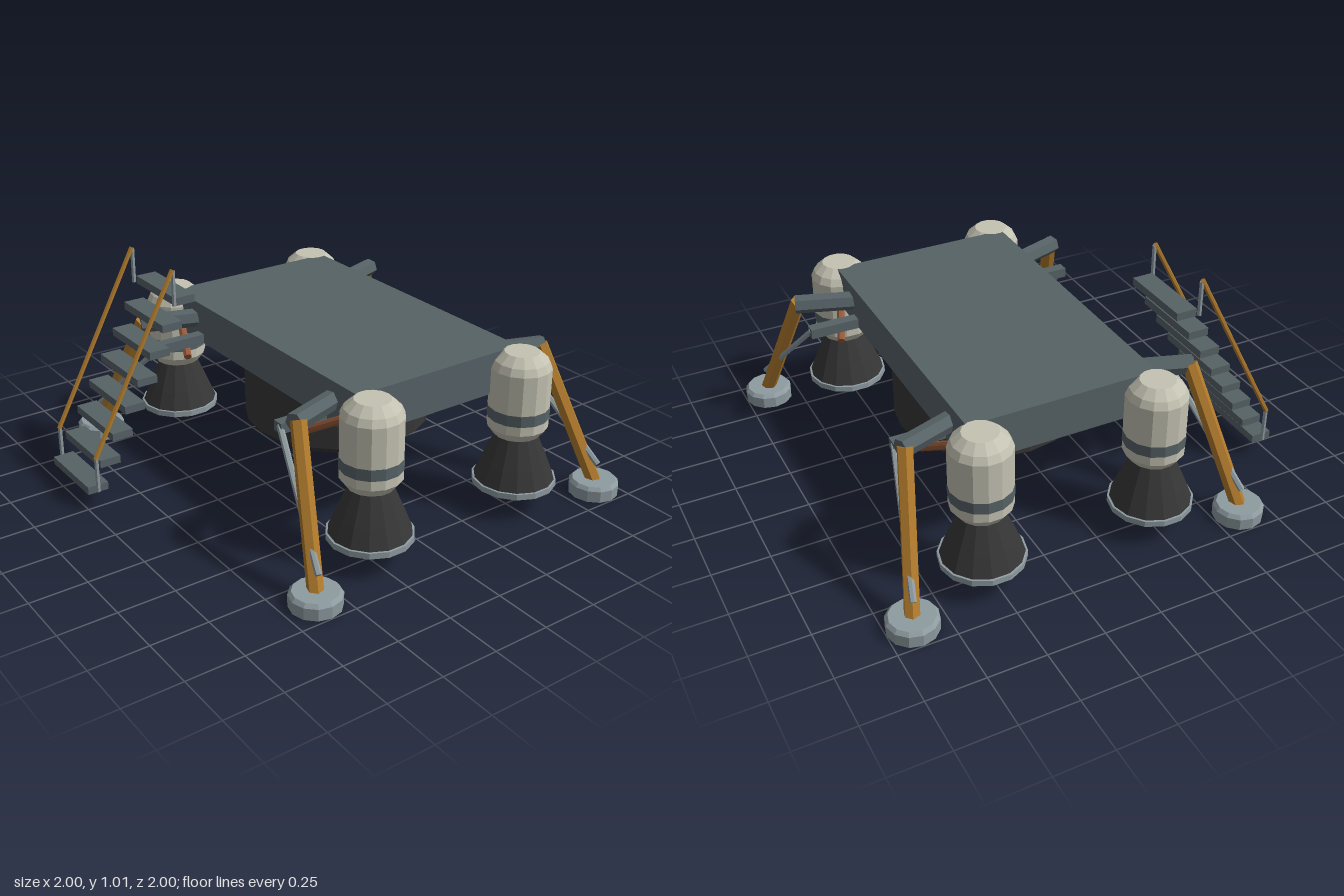
import * as THREE from 'three';

const mat = (name, color, extra = {}) => {
  const m = new THREE.MeshStandardMaterial({ color, flatShading: true, ...extra });
  m.name = name;
  return m;
};

export function createModel() {
  const slate = mat('slate', 0x566266);
  const cream = mat('cream', 0xc4c2b2);
  const dark = mat('charcoal', 0x363636, { side: THREE.DoubleSide });
  const orange = mat('ochre', 0xb07a2c);
  const steel = mat('steel', 0x8e9ba0);
  const copper = mat('copper', 0x95593a);

  const root = new THREE.Group();
  root.name = 'landingPlatform';
  const CZ = -0.14; // centre of the deck along z

  const add = (parent, name, geometry, material, x = 0, y = 0, z = 0) => {
    const mesh = new THREE.Mesh(geometry, material);
    mesh.name = name;
    mesh.position.set(x, y, z);
    parent.add(mesh);
    return mesh;
  };
  // Straight bar between two points
  const strut = (parent, name, a, b, r, sides, material) => {
    const p = new THREE.Vector3(...a), q = new THREE.Vector3(...b);
    const dir = q.clone().sub(p);
    const mesh = add(parent, name, new THREE.CylinderGeometry(r, r, dir.length(), sides), material);
    mesh.position.copy(p).add(q).multiplyScalar(0.5);
    mesh.quaternion.setFromUnitVectors(new THREE.Vector3(0, 1, 0), dir.normalize());
    return mesh;
  };
  // Turned part; the profile runs from bottom to top
  const lathe = (pts, sides) =>
    new THREE.LatheGeometry(pts.map(([r, y]) => new THREE.Vector2(r, y)), sides);

  // Deck and the tank beneath it
  add(root, 'deck', new THREE.BoxGeometry(1.4, 0.185, 0.84), slate, 0, 0.623, CZ);
  add(root, 'tank', lathe([[0, 0.225], [0.36, 0.225], [0.415, 0.27], [0.415, 0.54]], 20), dark, 0, 0, CZ);

  for (const sx of [-1, 1]) for (const sz of [-1, 1]) {
    const P = (x, y, z) => [sx * x, y, CZ + sz * z];

    // Engine pod with nozzle
    const engine = new THREE.Group();
    engine.name = 'engine';
    engine.position.set(sx * 0.755, 0, CZ + sz * 0.39);
    root.add(engine);
    add(engine, 'engineBody', lathe([[0, 0.345], [0.1, 0.345], [0.13, 0.385], [0.13, 0.65],
      [0.115, 0.682], [0.075, 0.718], [0, 0.718]], 14), cream);
    add(engine, 'engineBand', new THREE.CylinderGeometry(0.132, 0.132, 0.05, 14, 1, true), slate, 0, 0.452, 0);
    add(engine, 'nozzle', lathe([[0.176, 0.13], [0.14, 0.22], [0.085, 0.35]], 14), dark);
    add(engine, 'nozzleRim', lathe([[0.165, 0.14], [0.165, 0.112], [0.181, 0.112], [0.181, 0.138], [0.165, 0.14]], 14), steel);

    // Landing leg
    const leg = new THREE.Group();
    leg.name = 'landingLeg';
    root.add(leg);
    strut(leg, 'upperArm', P(0.51, 0.63, 0.36), P(0.61, 0.63, 0.655), 0.042, 6, slate);
    add(leg, 'lowerArm', new THREE.BoxGeometry(0.05, 0.045, 0.26), slate, ...P(0.475, 0.552, 0.51));
    strut(leg, 'mainStrut', P(0.615, 0.64, 0.638), P(0.89, 0.05, 0.752), 0.034, 6, orange);
    strut(leg, 'brace', P(0.475, 0.56, 0.63), P(0.905, 0.14, 0.75), 0.014, 6, steel);
    add(leg, 'foot', lathe([[0, 0], [0.108, 0], [0.109, 0.052], [0.095, 0.068], [0, 0.068]], 12),
      steel, ...P(0.89, 0, 0.752));

    // Feed pipe into the engine
    strut(root, 'feedPipe', P(0.45, 0.485, 0.507), P(0.67, 0.615, 0.42), 0.018, 8, copper);
  }

  // Boarding stairs
  const stairs = new THREE.Group();
  stairs.name = 'stairs';
  root.add(stairs);
  for (let i = 0; i < 8; i++) {
    add(stairs, 'step', new THREE.BoxGeometry(0.342, 0.035, 0.095), slate,
      -0.409, 0.095 + i * 0.1087, 0.952 - i * 0.0661);
  }
  for (const x of [-0.587, -0.231]) {
    strut(stairs, 'handrail', [x, 0.24, 0.958], [x, 1.005, 0.548], 0.011, 6, orange);
    strut(stairs, 'lowerPost', [x, 0.085, 0.955], [x, 0.245, 0.955], 0.01, 6, steel);
    strut(stairs, 'upperPost', [x, 0.845, 0.545], [x, 1.0, 0.545], 0.01, 6, steel);
  }
  return root;
}
